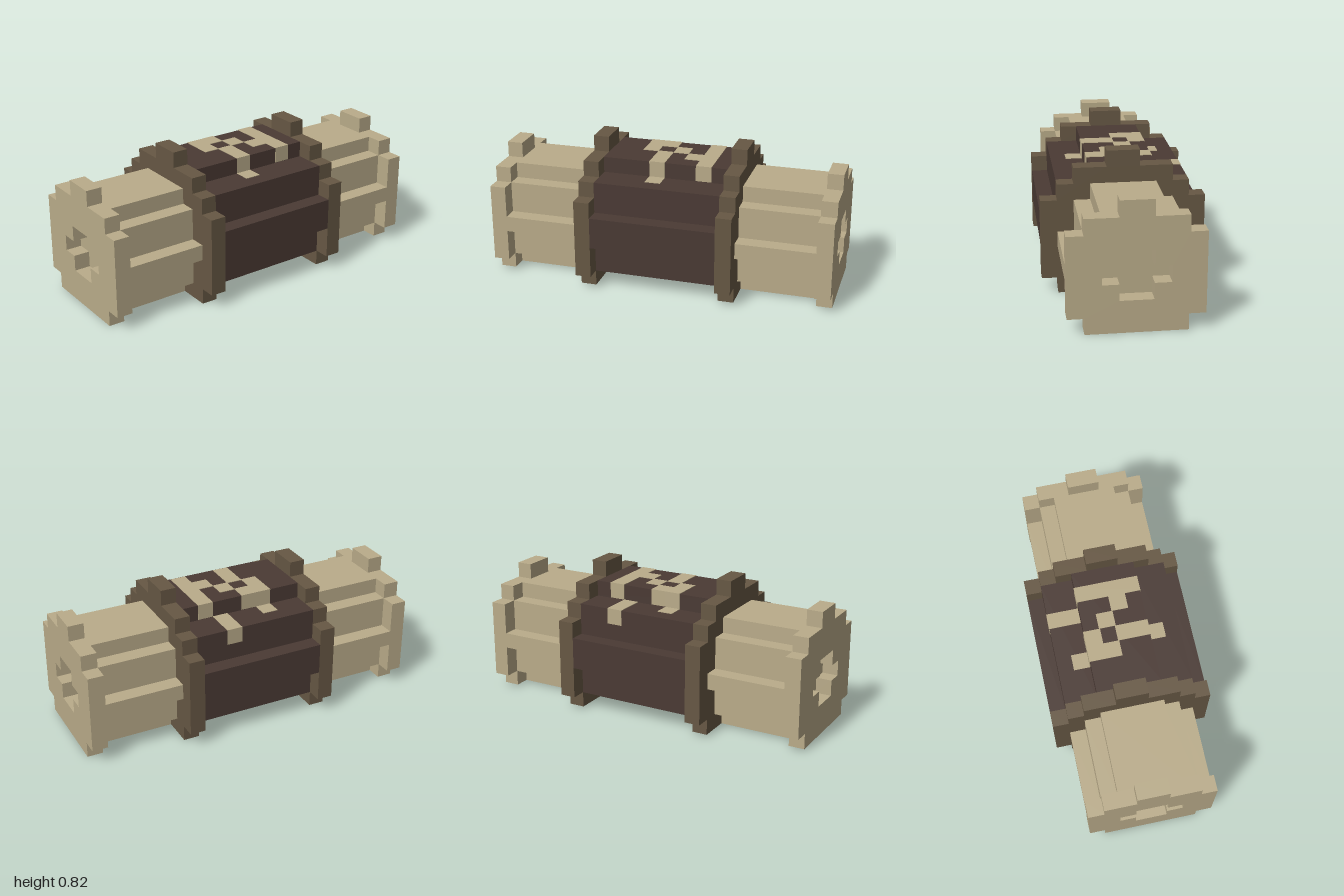
import * as THREE from 'three';

const U = 1 / 11; // one block

const tan = new THREE.MeshStandardMaterial({ color: 0xbaac8a, name: 'tan' });
const darkBrown = new THREE.MeshStandardMaterial({ color: 0x4a3a34, name: 'darkBrown' });
const brown = new THREE.MeshStandardMaterial({ color: 0x675844, name: 'brown' });

// Stepped profile, mirrored in z. Rows run upward: [top of row, half width].
function steppedShape(rows) {
  const right = [];
  let y = 0;
  for (const [top, half] of rows) {
    right.push([half, y], [half, top]);
    y = top;
  }
  const left = right.map(([z, h]) => [-z, h]).reverse();
  return new THREE.Shape([...right, ...left].map(([z, h]) => new THREE.Vector2(z * U, h * U)));
}

// Extrude a profile along x, from block x0 to block x1.
function slab(name, shape, x0, x1, material) {
  const geometry = new THREE.ExtrudeGeometry(shape, { depth: (x1 - x0) * U, bevelEnabled: false });
  geometry.rotateY(Math.PI / 2);
  geometry.translate(x0 * U, 0, 0);
  const mesh = new THREE.Mesh(geometry, material);
  mesh.name = name;
  return mesh;
}

export function createModel() {
  const model = new THREE.Group();
  model.name = 'blockBarrel';

  const coreShape = steppedShape([[1, 2], [3, 4], [5, 5], [7, 4], [8, 2]]);
  const ringShape = steppedShape([[1, 4], [6, 5], [7, 4], [8, 3], [9, 1]]);
  const tubeShape = steppedShape([[1, 2], [3, 3], [4, 4], [6, 3], [7, 2]]);
  const capShape = steppedShape([[1, 3], [6, 4], [7, 3], [8, 1]]);

  // Cross-shaped recess in each end cap
  const cross = [[-1, 2], [1, 2], [1, 3], [2, 3], [2, 4], [1, 4], [1, 5], [-1, 5], [-1, 4], [-2, 4], [-2, 3], [-1, 3]];
  capShape.holes.push(new THREE.Path(cross.map(([z, y]) => new THREE.Vector2(z * U, y * U))));

  // Middle drum
  model.add(slab('drum', coreShape, -4, 4, darkBrown));

  // Rings, tubes and end caps on both sides
  for (const [side, s] of [['left', 1], ['right', -1]]) {
    const add = (part, shape, a, b, material) =>
      model.add(slab(side + part, shape, Math.min(a * s, b * s), Math.max(a * s, b * s), material));
    add('Ring', ringShape, 4, 5, brown);
    add('Tube', tubeShape, 5, 10, tan);
    add('EndCap', capShape, 10, 11, tan);
  }

  // Inlaid tan blocks on top of the drum: [x0, x1, top, z0, z1]
  const inlays = [
    [-2, -1, 8, -2, 0], [-2, -1, 7, -3, -2],
    [-1, 0, 8, -2, -1], [-1, 0, 8, 0, 2], [-1, 0, 7, 2, 3],
    [0, 1, 8, -1, 0],
    [1, 2, 7, -4, -2], [1, 2, 8, 0, 1],
    [2, 3, 8, -2, 2],
  ];
  const marks = new THREE.Group();
  marks.name = 'inlay';
  const lift = 0.003;
  for (const [x0, x1, top, z0, z1] of inlays) {
    const geometry = new THREE.BoxGeometry((x1 - x0) * U, U, (z1 - z0) * U + lift * 2);
    const block = new THREE.Mesh(geometry, tan);
    block.position.set((x0 + x1) / 2 * U, (top - 0.5) * U + lift, (z0 + z1) / 2 * U);
    block.name = 'inlayBlock';
    marks.add(block);
  }
  model.add(marks);

  return model;
}
